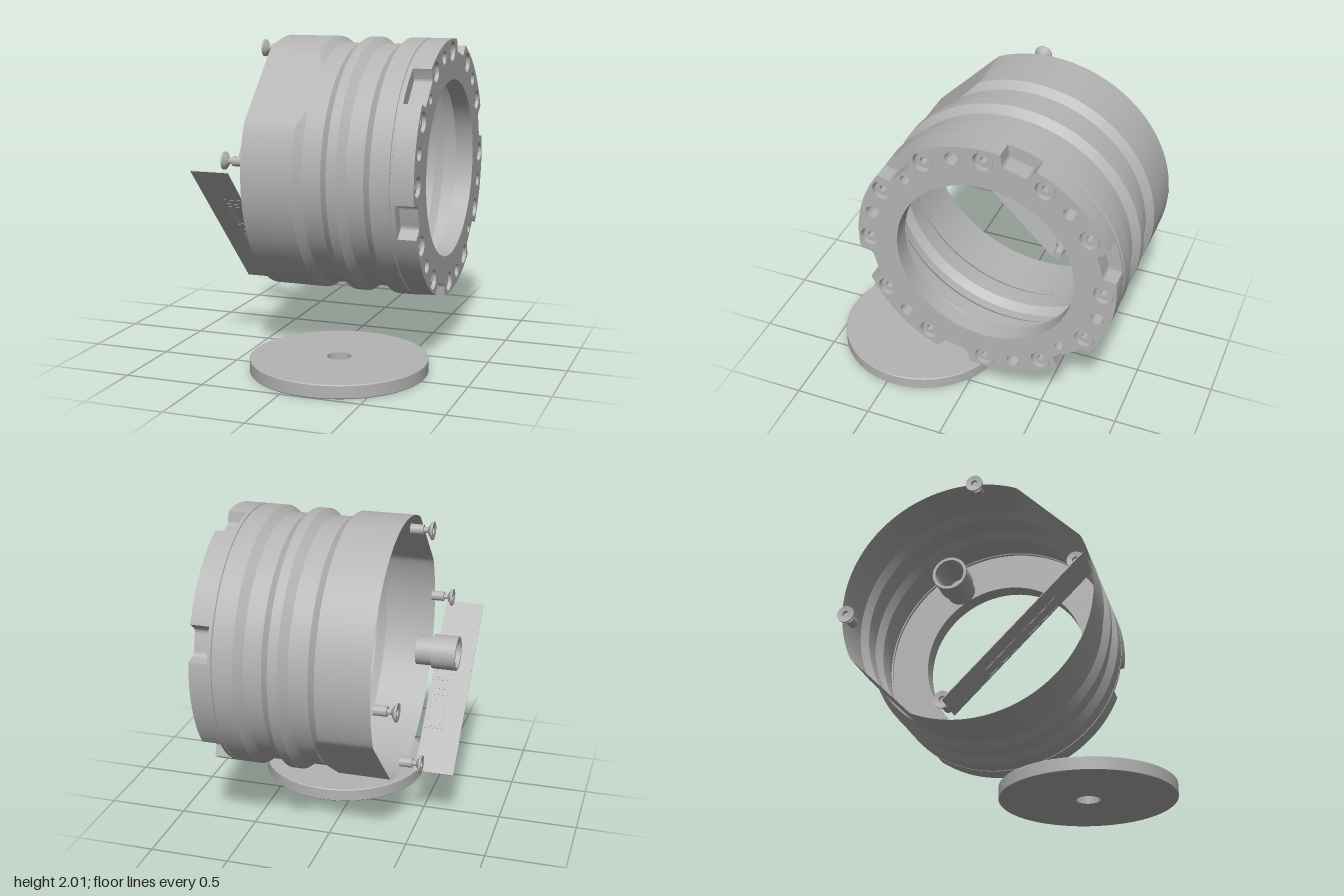
import * as THREE from 'three';
import { toCreasedNormals } from 'three/addons/utils/BufferGeometryUtils.js';

const grey = new THREE.MeshStandardMaterial({ name: 'metal grey', color: 0xb4b4b4, side: THREE.DoubleSide });
const rad = THREE.MathUtils.degToRad;

function part(name, geometry, parent) {
  const mesh = new THREE.Mesh(toCreasedNormals(geometry, 0.3), grey);
  mesh.name = name;
  parent.add(mesh);
  return mesh;
}

// Lathe turned around local z; points are [radius, z]
function turned(points, segments = 48) {
  return new THREE.LatheGeometry(points.map(p => new THREE.Vector2(...p)), segments).rotateX(Math.PI / 2);
}

// Point at a radius and an angle counted from the top towards the left of the face
const polar = (r, deg) => [-r * Math.sin(rad(deg)), r * Math.cos(rad(deg))];

function circle(r, x = 0, y = 0) {
  return new THREE.Path().absarc(x, y, r, 0, Math.PI * 2, true);
}

// Corrugated thin shell with two flats cut diagonally at the open end
function shellGeometry() {
  const R = 0.815, V = 0.775, cutEnd = -0.02;
  const profile = [[R, -0.4], [R, -0.07]];
  for (let i = 1; i <= 8; i++) profile.push([R - (R - V) * i / 8, -0.07 + 0.05 * i / 8]);
  profile.push([V, -0.018], [V, 0.1], [R, 0.15], [R, 0.21], [V, 0.26], [V, 0.37], [R, 0.42],
    [R, 0.54], [R - 0.008, 0.543], [R - 0.008, 0.55], [R, 0.553], [R, 0.575], [0.56, 0.575]);
  const g = turned(profile, 160);
  const p = g.attributes.position, flat = 0.762;
  for (let i = 0; i < p.count; i++) {
    if (p.getZ(i) > cutEnd + 0.001) continue;
    const d = (p.getY(i) - p.getX(i)) * Math.SQRT1_2;
    const excess = Math.sign(d) * Math.max(0, Math.abs(d) - flat) * Math.SQRT1_2;
    p.setXY(i, p.getX(i) + excess, p.getY(i) - excess);
  }
  return g;
}

// End ring outline with six rounded notches, bolt bores and pin holes
function ringGeometry() {
  const R = 0.815, floor = 0.735, shape = new THREE.Shape();
  const at = (r, a) => [r * Math.cos(a), r * Math.sin(a)];
  for (let i = 0; i < 6; i++) {
    const mid = rad(135 + 60 * i);
    const wide = i % 3 === 0 ? 0.165 : 0.135, narrow = wide - 0.03;
    const corner = [at(floor, mid - narrow), at(floor, mid + narrow)];
    if (i === 0) shape.moveTo(...at(R, mid - wide));
    shape.lineTo(...at(floor + 0.025, mid - narrow - 0.01));
    shape.quadraticCurveTo(...corner[0], ...at(floor, mid - narrow + 0.04));
    shape.lineTo(...at(floor, mid + narrow - 0.04));
    shape.quadraticCurveTo(...corner[1], ...at(floor + 0.025, mid + narrow + 0.01));
    shape.lineTo(...at(R, mid + wide));
    const nextWide = (i + 1) % 3 === 0 ? 0.165 : 0.135;
    shape.absarc(0, 0, R, mid + wide, mid + rad(60) - nextWide, false);
  }
  shape.holes.push(circle(0.56));
  for (let i = 0; i < 12; i++) shape.holes.push(circle(0.062, ...polar(0.738, 30 * i)));
  for (let i = 0; i < 6; i++) shape.holes.push(circle(0.042, ...polar(0.735, 15 + 60 * i)));
  for (const a of [45, 225]) shape.holes.push(circle(0.03, ...polar(0.686, a)));
  return new THREE.ExtrudeGeometry(shape, { depth: 0.115, bevelEnabled: false, curveSegments: 40 });
}

// Round bolt head with a hexagonal socket
function boltGeometry() {
  const shape = new THREE.Shape().absarc(0, 0, 0.05, 0, Math.PI * 2, false);
  const hex = [];
  for (let i = 0; i < 6; i++) hex.push(new THREE.Vector2(...polar(0.026, 60 * i)));
  shape.holes.push(new THREE.Path(hex));
  return new THREE.ExtrudeGeometry(shape, { depth: 0.09, bevelEnabled: false, curveSegments: 14 });
}

// Thin rectangular frame, with clipped lower corners for a plug opening
function frameGeometry(w, h, t, clip) {
  const outline = (a, b, c) => [[-a, b], [-a, -b + c], [-a + c, -b], [a - c, -b], [a, -b + c], [a, b]]
    .map(p => new THREE.Vector2(...p));
  const shape = new THREE.Shape(outline(w / 2, h / 2, clip));
  shape.holes.push(new THREE.Path(outline(w / 2 - t, h / 2 - t, clip)));
  return new THREE.ExtrudeGeometry(shape, { depth: 0.009, bevelEnabled: false });
}

export function createModel() {
  const model = new THREE.Group();
  model.name = 'housing assembly';

  // Housing group: local z runs along the housing axis (world +x)
  const housing = new THREE.Group();
  housing.name = 'housing';
  housing.rotation.y = Math.PI / 2;
  housing.position.set(0, 1.19, -0.185);
  model.add(housing);

  part('shell', shellGeometry(), housing);
  part('endRing', ringGeometry(), housing).position.z = 0.575;

  for (let i = 0; i < 12; i++) {
    part('ringBolt', boltGeometry(), housing).position.set(...polar(0.738, 30 * i), 0.58);
  }

  // Standoff screws at the open end, with dished heads
  const screw = [[0, -0.518], [0.022, -0.518], [0.022, -0.538], [0.055, -0.542], [0.055, -0.53],
    [0.026, -0.51], [0.017, -0.505], [0.017, -0.48], [0.031, -0.48], [0.031, -0.4], [0, -0.4]];
  for (const a of [7, 83, 187, 263]) {
    part('standoffScrew', turned(screw, 24), housing).position.set(...polar(0.74, a), 0);
  }

  // Hollow stepped tube on the axis
  part('centreTube', turned([[0.088, -0.73], [0.105, -0.73], [0.105, -0.58], [0.089, -0.58],
    [0.089, -0.48], [0.084, -0.48], [0.084, -0.58], [0.088, -0.73]]), housing);

  // Slanted connector panel
  const panel = new THREE.Group();
  panel.name = 'connectorPanel';
  panel.position.set(-0.605, 0.795, 0.21);
  panel.rotation.x = Math.PI / 4;
  model.add(panel);
  part('panelSheet', new THREE.BoxGeometry(0.25, 1.2, 0.005), panel);
  for (const y of [0.17, -0.165]) {
    const socket = new THREE.Group();
    socket.name = 'socket';
    socket.position.set(0.058, y, -0.0045);
    panel.add(socket);
    part('socketFrame', frameGeometry(0.108, 0.28, 0.006, 0), socket);
    part('plugOpening', frameGeometry(0.092, 0.19, 0.006, 0.02), socket).position.y = -0.03;
    part('latchBar', new THREE.BoxGeometry(0.092, 0.006, 0.009), socket).position.set(0, 0.095, 0.0045);
    part('keyTab', new THREE.BoxGeometry(0.02, 0.01, 0.009), socket).position.set(0.035, -0.02, 0.0045);
  }

  // Separate cover disc lying on the ground, with a centre hole
  const disc = new THREE.LatheGeometry([[0.075, 0], [0.545, 0], [0.55, 0.005], [0.55, 0.08], [0.545, 0.085],
    [0.075, 0.085], [0.075, 0]].map(p => new THREE.Vector2(...p)), 96);
  part('coverDisc', disc, model).position.set(0.17, 0, 0.45);

  return model;
}
